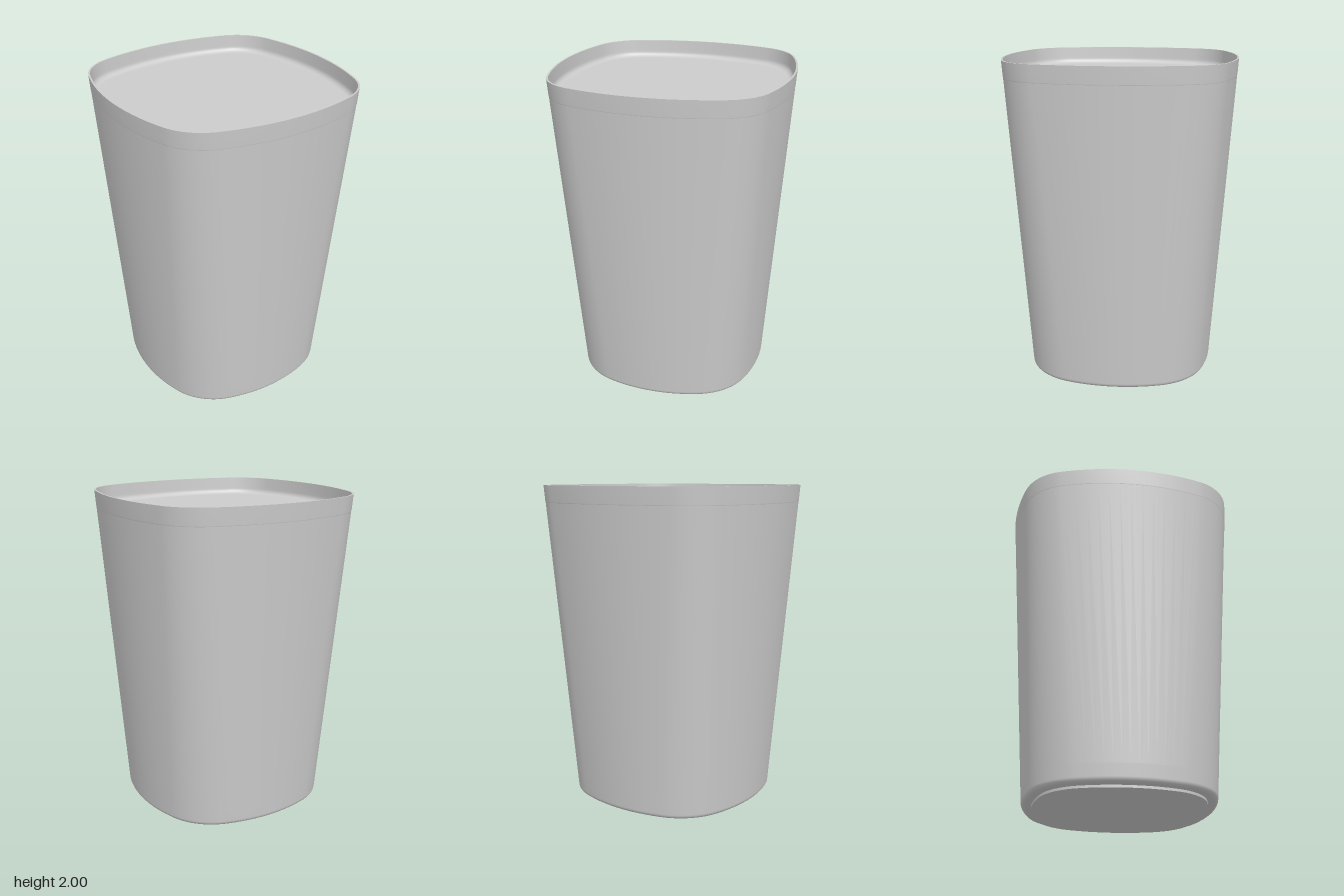
import * as THREE from 'three';
import { mergeGeometries } from 'three/addons/utils/BufferGeometryUtils.js';

const PER_SIDE = 32;
const BLEND = THREE.MathUtils.degToRad(18); // where a bowed side turns into a corner arc

// Rounded square made of four bowed sides and four corner arcs.
// a = half width; the corners grow rounder toward the base.
function section(a, y) {
  const d = 0.58 + 0.275 * y; // side radius minus corner radius
  const c = d * Math.sin(BLEND);
  const R = a - c + d * Math.cos(BLEND);
  const r = R - d;
  const points = [];
  for (let side = 0; side < 4; side++) {
    const turn = side * Math.PI / 2;
    for (let i = 0; i < PER_SIDE; i++) {
      const t = (i / PER_SIDE - 0.5) * Math.PI / 2;
      const onSide = Math.abs(t) < BLEND;
      const x = onSide ? R * Math.sin(t) : Math.sign(t) * c + r * Math.sin(t);
      const z = onSide ? a - R + R * Math.cos(t) : c + r * Math.cos(t);
      points.push(new THREE.Vector3(
        x * Math.cos(turn) + z * Math.sin(turn), y,
        z * Math.cos(turn) - x * Math.sin(turn)));
    }
  }
  return points;
}

// Smooth skin through a profile of [half width, height] rows
function loft(profile) {
  const n = PER_SIDE * 4;
  const position = [], uv = [], index = [];
  profile.forEach(([a, y], row) => section(a, y).forEach((p, j) => {
    position.push(p.x, p.y, p.z);
    uv.push(j / n, row / (profile.length - 1));
    if (row === 0) return;
    const k = (j + 1) % n, low = (row - 1) * n, up = row * n;
    index.push(low + j, low + k, up + j, low + k, up + k, up + j);
  }));
  const g = new THREE.BufferGeometry();
  g.setAttribute('position', new THREE.Float32BufferAttribute(position, 3));
  g.setAttribute('uv', new THREE.Float32BufferAttribute(uv, 2));
  g.setIndex(index);
  g.computeVertexNormals();
  return g;
}

// Flat panel filling one section, facing up (1) or down (-1)
function panel(a, y, facing) {
  const outline = section(a, y).map(p => new THREE.Vector2(p.x, p.z));
  return new THREE.ShapeGeometry(new THREE.Shape(outline))
    .rotateX(-facing * Math.PI / 2).translate(0, y, 0);
}

// Quarter-round profile rows about a centre
function fillet(a, y, radius, from, to, steps = 6) {
  return Array.from({ length: steps + 1 }, (_, i) => {
    const t = THREE.MathUtils.lerp(from, to, i / steps);
    return [a + radius * Math.cos(t), y + radius * Math.sin(t)];
  });
}

export function createModel() {
  const group = new THREE.Group();
  const material = new THREE.MeshStandardMaterial({ color: 0xcccccc, side: THREE.DoubleSide });
  const add = (name, ...parts) => {
    const mesh = new THREE.Mesh(mergeGeometries(parts), material);
    mesh.name = name;
    group.add(mesh);
  };
  const H = Math.PI / 2;

  // Low foot under the base
  add('foot', panel(0.53, 0, -1), loft([[0.53, 0], [0.53, 0.015]]));

  // Tapered wall with a rounded lower edge
  add('body',
    loft([[0.53, 0.015], [0.563, 0.015]]),
    loft([...fillet(0.563, 0.045, 0.03, -H, 0), [0.598, 0.12], [0.719, 1.895]]));

  // Band above the seam, thin lip and inner wall
  add('rim',
    loft([[0.719, 1.895], [0.7205, 1.9], [0.727, 2]]),
    loft([[0.727, 2], [0.716, 2]]));

  // Shallow recess with a rounded inner edge
  add('recess',
    loft([[0.716, 2], [0.712, 1.94], ...fillet(0.677, 1.925, 0.034, 0, -H), [0.66, 1.891]]),
    panel(0.66, 1.891, 1));

  return group;
}
